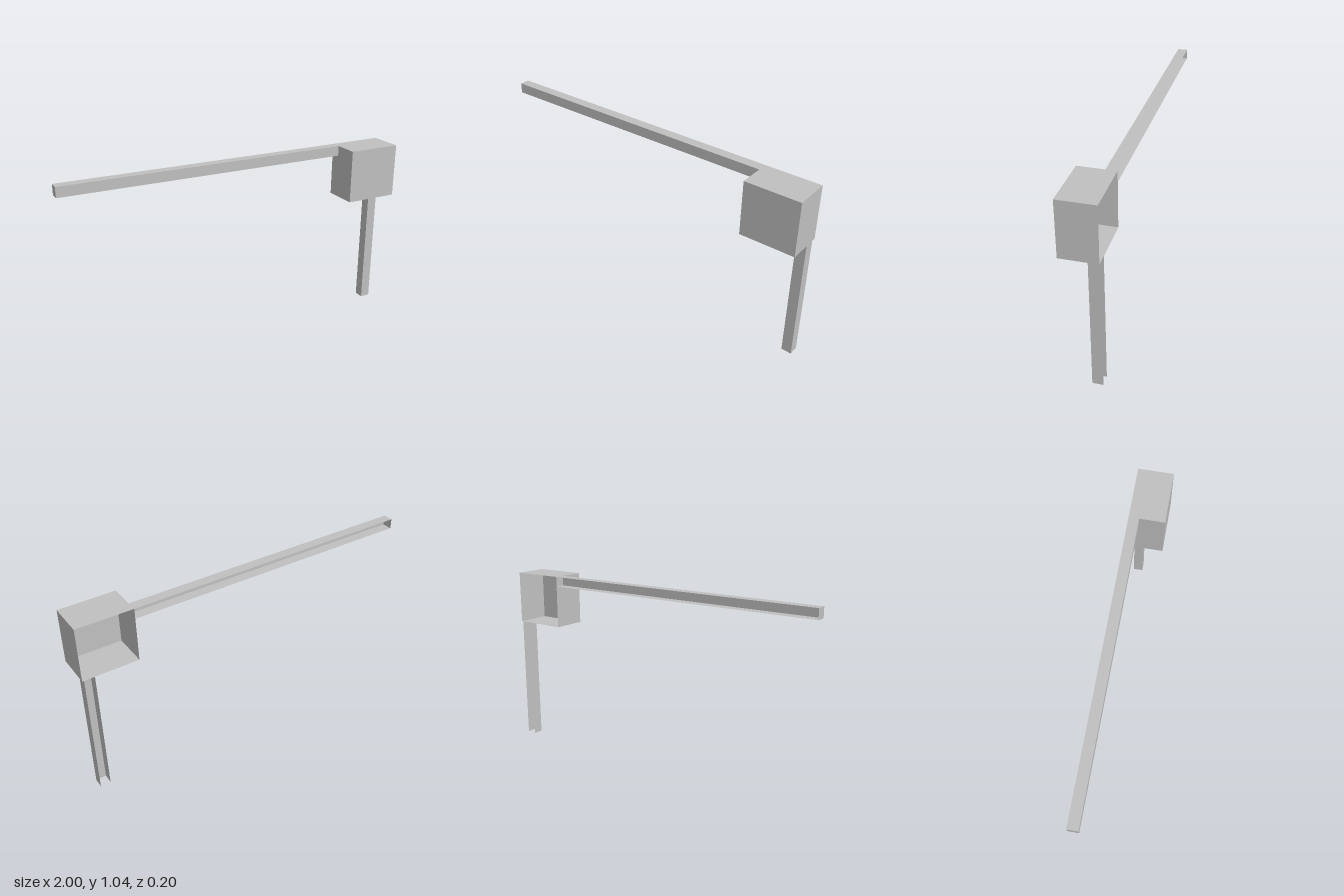
import * as THREE from 'three';

const FACES = ['right', 'left', 'top', 'bottom', 'front', 'back'];

// Thin sheet box between two corners, with the named faces left open
function openBox(name, min, max, open, material) {
  const size = max.map((v, i) => v - min[i]);
  const geometry = new THREE.BoxGeometry(...size);
  const index = Array.from(geometry.index.array);
  const kept = index.filter((_, i) => !open.includes(FACES[Math.floor(i / 6)]));
  geometry.setIndex(kept);
  geometry.clearGroups();
  const mesh = new THREE.Mesh(geometry, material);
  mesh.name = name;
  mesh.position.set(...max.map((v, i) => (v + min[i]) / 2));
  return mesh;
}

export function createModel() {
  const model = new THREE.Group();
  model.name = 'bracketFrame';
  const grey = new THREE.MeshStandardMaterial({ color: 0xc0c0c0, side: THREE.DoubleSide });
  grey.name = 'lightGrey';

  const back = -0.1, channelFront = -0.042, top = 1.045, boxBottom = 0.738, boxLeft = 0.687;

  model.add(
    // Corner housing, open at the back
    openBox('cornerHousing', [boxLeft, boxBottom, back], [1, top, 0.1], ['back'], grey),
    // Long horizontal channel, capped at its far end
    openBox('horizontalChannel', [-1, 0.987, back], [boxLeft, top, channelFront], ['back', 'right'], grey),
    // Upright channel, open at the back and at both ends
    openBox('uprightChannel', [0.932, 0, back], [0.99, boxBottom, channelFront], ['back', 'top', 'bottom'], grey),
  );
  return model;
}
